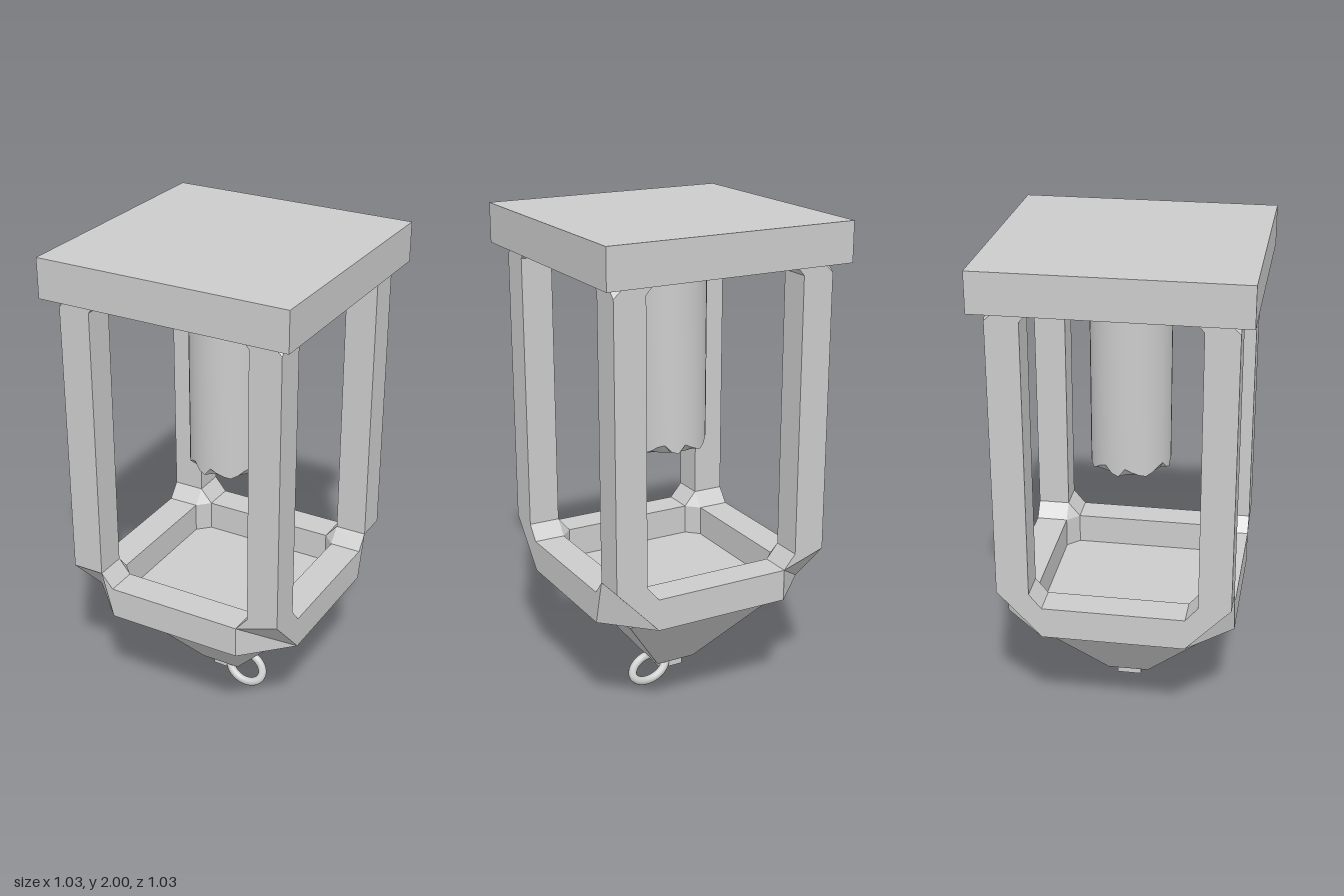
import * as THREE from 'three';
import { ConvexGeometry } from 'three/addons/geometries/ConvexGeometry.js';
import { toCreasedNormals } from 'three/addons/utils/BufferGeometryUtils.js';

const flat = new THREE.MeshStandardMaterial({ color: 0xcccccc, flatShading: true });
const smooth = new THREE.MeshStandardMaterial({ color: 0xcccccc });
const IN = 0.335, OUT = 0.465, END = 0.285; // post inner / outer faces, beam half length
const LOW = 0.48, TOP = 0.61, KNEE = 0.67, NECK = 1.8, ROOF = 1.84;

export function createModel() {
  const model = new THREE.Group();
  const add = (name, geometry, material = flat) => {
    const mesh = new THREE.Mesh(geometry, material);
    mesh.name = name;
    model.add(mesh);
    return mesh;
  };
  const box = (name, w, h, d, x, y, z) =>
    add(name, new THREE.BoxGeometry(w, h, d)).position.set(x, y, z);

  // Roof slab
  box('roof', 1.034, 2 - ROOF, 1.034, 0, (2 + ROOF) / 2, 0);

  // Corner posts with flared heads and bevelled feet
  const mid = (IN + OUT) / 2, thick = OUT - IN;
  for (const sx of [1, -1]) for (const sz of [1, -1]) {
    box('post', thick, NECK - KNEE, thick, sx * mid, (NECK + KNEE) / 2, sz * mid);
    const head = [[IN, IN], [IN, OUT], [OUT, IN], [OUT, OUT]].map(([x, z]) => new THREE.Vector3(sx * x, NECK, sz * z));
    for (const [a, b] of [[0.3, IN], [0.3, OUT], [0.42, OUT]])
      head.push(new THREE.Vector3(sx * a, ROOF, sz * b), new THREE.Vector3(sx * b, ROOF, sz * a));
    add('postHead', new ConvexGeometry(head));
    add('cornerFoot', cornerFoot(sx, sz));
  }

  // Beams of the lower frame
  for (const s of [1, -1]) {
    box('frameBeam', 2 * END, TOP - LOW, thick, 0, (TOP + LOW) / 2, s * mid);
    box('frameBeam', thick, TOP - LOW, 2 * END, s * mid, (TOP + LOW) / 2, 0);
  }

  // Floor plate, inverted pyramid and stub
  box('floorPlate', 0.716, 0.025, 0.716, 0, 0.4725, 0);
  const pyramid = new THREE.CylinderGeometry(0.355 * Math.SQRT2, 0.085 * Math.SQRT2, 0.35, 4);
  pyramid.rotateY(Math.PI / 4);
  add('pyramid', pyramid).position.y = 0.285;
  box('stub', 0.1, 0.05, 0.1, 0, 0.09, 0);

  // Hanging ring, tilted down to one side
  const ring = new THREE.TorusGeometry(0.077, 0.018, 12, 40);
  ring.rotateX(Math.PI / 2);
  ring.rotateZ(-Math.PI / 6);
  add('ring', ring, smooth).position.set(0.083, 0.057, 0);

  // Hanging column with a chipped lower rim
  const profile = [[0, 1.06], [0.13, 1.06], [0.162, 1.06], [0.162, ROOF]].map(([r, y]) => new THREE.Vector2(r, y));
  const column = new THREE.LatheGeometry(profile, 36);
  const chips = [0.035, 0.02, 0.008, 0, 0.012, 0.03, 0.038, 0.01, 0];
  const p = column.attributes.position;
  for (let i = 0; i <= 36; i++) p.setY(i * 4 + 2, 1.062 + chips[i % 9]);
  add('column', toCreasedNormals(column, 0.6), smooth);

  return model;
}

// Joint of a post and two beams; its outer bevel is cut differently on alternate corners
function cornerFoot(sx, sz) {
  const points = [
    [IN, KNEE, IN], [OUT, KNEE, IN], [OUT, KNEE, OUT], [IN, KNEE, OUT],
    [END, LOW, IN], [END, TOP, IN], [END, LOW, OUT], [END, TOP, OUT],
    [IN, LOW, END], [IN, TOP, END], [OUT, LOW, END], [OUT, TOP, END],
  ];
  const same = sx === sz, swap = sx > sz;
  const faces = [
    [0, 9, 5], [5, 9, 8, 4], [0, 5, 7, 3], [0, 1, 11, 9], [4, 8, 10, 6], [2, 10, 11, 1],
    ...(same ? [[3, 7, 2], [7, 6, 10, 2]] : [[3, 7, 6], [3, 6, 10, 2]]),
  ];
  const flip = sx * sz * (swap ? -1 : 1) < 0;
  const out = [];
  for (const f of faces) for (let i = 1; i < f.length - 1; i++) {
    const tri = flip ? [f[0], f[i + 1], f[i]] : [f[0], f[i], f[i + 1]];
    for (const k of tri) {
      const [u, y, v] = points[k];
      out.push(sx * (swap ? v : u), y, sz * (swap ? u : v));
    }
  }
  const geometry = new THREE.BufferGeometry();
  geometry.setAttribute('position', new THREE.Float32BufferAttribute(out, 3));
  geometry.computeVertexNormals();
  return geometry;
}
